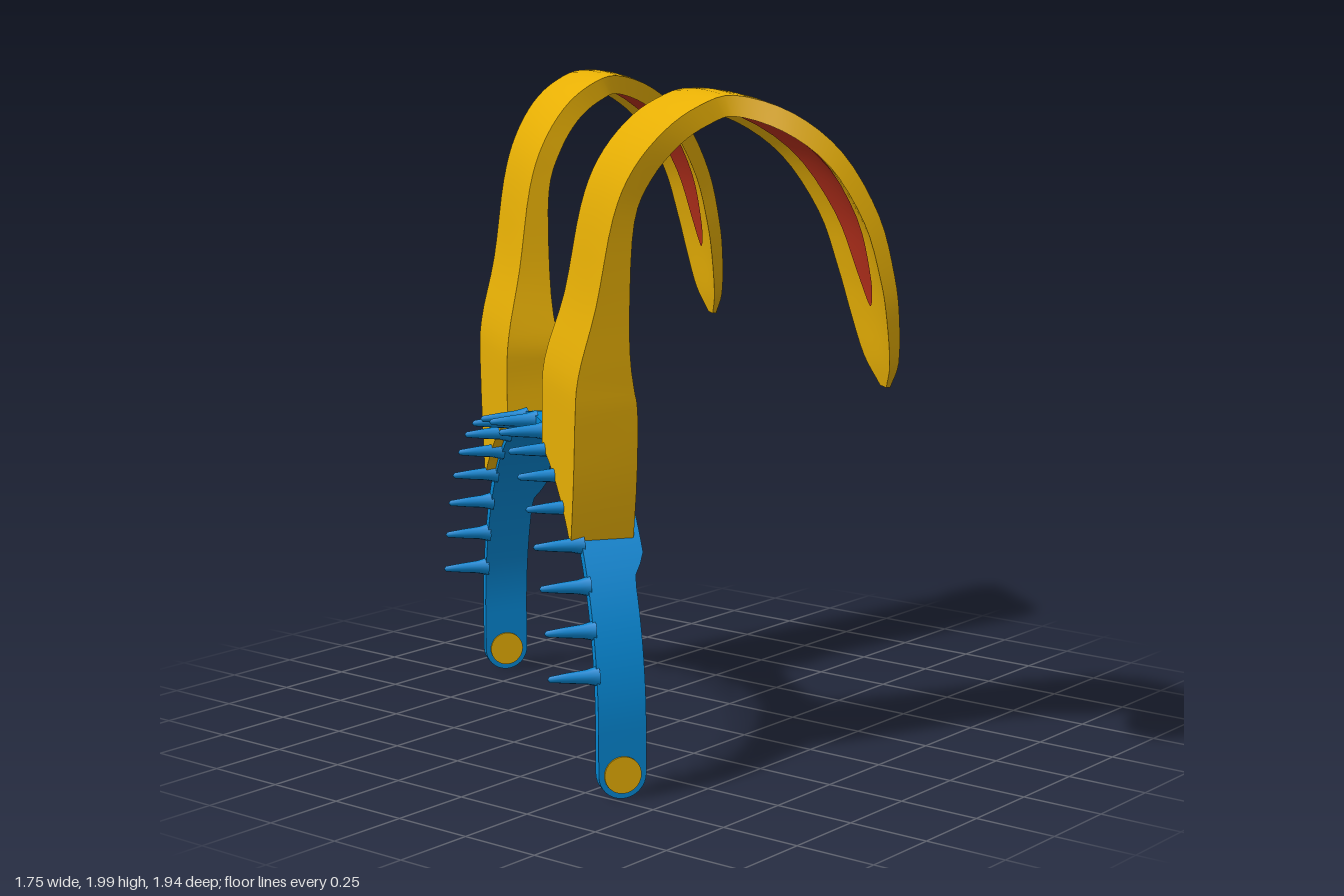
import * as THREE from 'three';
import { toCreasedNormals } from 'three/addons/utils/BufferGeometryUtils.js';

const gold = new THREE.MeshStandardMaterial({ color: 0xe8b004 });
const blue = new THREE.MeshStandardMaterial({ color: 0x0487d3 });
const red = new THREE.MeshStandardMaterial({ color: 0xb7301c });
gold.name = 'gold';
blue.name = 'blue';
red.name = 'red';

// half-ellipse arch of the headband
const A = 0.743, B = 0.775, Y0 = 0.2;
const archY = (x) => Y0 + B * Math.sqrt(Math.max(0, 1 - (x / A) ** 2));

function mesh(name, geometry, material) {
  const m = new THREE.Mesh(geometry, material);
  m.name = name;
  return m;
}

function build(points, index, crease) {
  const g = new THREE.BufferGeometry();
  g.setAttribute('position', new THREE.Float32BufferAttribute(points.flat(), 3));
  g.setIndex(index);
  return toCreasedNormals(g, crease);
}

// closed rings of n points, running clockwise about the sweep direction, capped at both ends
function loft(rings, crease) {
  const n = rings[0].length, h = n / 2, index = [];
  for (let i = 0; i < rings.length - 1; i++) {
    for (let j = 0; j < n; j++) {
      const a = i * n + j, b = i * n + (j + 1) % n;
      index.push(a, a + n, b, b, a + n, b + n);
    }
  }
  const end = (rings.length - 1) * n;
  for (let j = 0; j < h - 1; j++) {
    const p = j, q = j + 1, r = n - 2 - j, s = n - 1 - j;
    index.push(p, q, r, p, r, s);
    index.push(end + p, end + r, end + q, end + p, end + s, end + r);
  }
  return build(rings.flat(), index, crease);
}

// headband: flat strip, wider at the front under the ears, with round ends
function bandGeometry() {
  const R = 0.07, T = 0.0175, st = [];
  const tail = [];
  for (let k = 0; k <= 8; k++) {
    const a = (k / 8) * Math.PI * 0.495;
    tail.push([A, 0.076 - R * Math.sin(a), 1, 0, R * Math.cos(a)]);
  }
  tail.reverse().forEach((p) => st.push(p));
  for (let k = 0; k <= 72; k++) {
    const f = (k / 72) * Math.PI, c = Math.cos(f), s = Math.sin(f);
    const l = Math.hypot(c / A, s / B);
    st.push([A * c, Y0 + B * s, c / A / l, s / B / l, R]);
  }
  tail.reverse().forEach(([x, y, nx, ny, w]) => st.push([-x, y, -nx, ny, w]));
  const step = THREE.MathUtils.smoothstep;
  const rings = st.map(([x, y, nx, ny, w]) => {
    const d = Math.abs(x);
    const front = w + 0.035 * step(d, 0.1, 0.17) * (1 - step(d, 0.59, 0.635));
    const P = (o, z) => [x + nx * o, y + ny * o, z];
    return [P(-T, -w), P(T, -w), P(T, front), P(-T, front)];
  });
  return loft(rings, 0.6);
}

// ear stations: centre x, y, z of the back surface, then half width, thickness, hollow
const EAR = [
  [0.4, 0.72, -0.1, 0.17, 0.185, 0], [0.43, 1.05, -0.1, 0.195, 0.185, 0],
  [0.437, 1.2, -0.092, 0.2, 0.163, 0.01], [0.472, 1.4, -0.045, 0.183, 0.1, 0.025],
  [0.502, 1.65, -0.006, 0.183, 0.067, 0.03], [0.529, 1.79, 0.04, 0.193, 0.067, 0.03],
  [0.568, 1.9, 0.115, 0.205, 0.067, 0.03], [0.597, 1.97, 0.205, 0.21, 0.067, 0.03],
  [0.625, 2.0, 0.305, 0.21, 0.065, 0.03], [0.698, 1.953, 0.45, 0.21, 0.065, 0.03],
  [0.755, 1.842, 0.58, 0.205, 0.06, 0.03], [0.797, 1.67, 0.677, 0.19, 0.055, 0.025],
  [0.815, 1.5, 0.724, 0.175, 0.05, 0.02], [0.823, 1.38, 0.745, 0.152, 0.045, 0.015],
  [0.83, 1.25, 0.76, 0.105, 0.035, 0.005], [0.833, 1.17, 0.765, 0.025, 0.02, 0],
];
const curve = (i) => new THREE.CatmullRomCurve3(
  EAR.map((e) => new THREE.Vector3(e[i], e[i + 1], e[i + 2])), false, 'catmullrom', 0.5);
const backLine = curve(0), sizes = curve(3);

// point on the ear: k = station, t = -1..1 across, depth 0 = back, 1 = hollow front
function earPoint(side, k, t, depth, lift = 0) {
  const u = k / (EAR.length - 1);
  const p = backLine.getPoint(u), d = backLine.getTangent(u), s = sizes.getPoint(u);
  const x = side * p.x + t * s.x;
  // the back is slightly crowned above the foot
  const crown = 0.008 * THREE.MathUtils.smoothstep(k, 2, 6) * t * t;
  const o = depth * (s.y - s.z * (1 - t * t)) + (1 - depth) * crown + lift;
  if (k <= 1) return [x, 1.05 + (archY(x) - 1.05) * (1 - k), -0.1 + o];
  const l = Math.hypot(d.y, d.z);
  return [x, p.y - (d.z / l) * o, p.z + (d.y / l) * o];
}

function earGeometry(side) {
  const rings = [], N = 8, last = (EAR.length - 1) * 4;
  for (let i = 0; i <= last; i++) {
    const ring = [];
    for (let j = 0; j <= N; j++) ring.push(earPoint(side, i / 4, (2 * j) / N - 1, 0));
    for (let j = N; j >= 0; j--) ring.push(earPoint(side, i / 4, (2 * j) / N - 1, 1));
    rings.push(ring);
  }
  return loft(rings, 0.65);
}

// leaf-shaped lining of the ear with blunt ends
function liningGeometry(side) {
  const pts = [], index = [], M = 48, N = 8;
  for (let i = 0; i <= M; i++) {
    const v = (1 - Math.cos((Math.PI * i) / M)) / 2;
    const f = 0.7 * Math.pow(Math.max(0.00001, Math.sin(Math.PI * v)), 0.55);
    for (let j = 0; j <= N; j++) {
      pts.push(earPoint(side, 2.22 + v * 10.6, f * ((2 * j) / N - 1), 1, 0.004));
      if (i < M && j < N) {
        const a = i * (N + 1) + j, c = a + N + 1;
        index.push(a, a + 1, c, a + 1, c + 1, c);
      }
    }
  }
  return build(pts, index, 1);
}

export function createModel() {
  const model = new THREE.Group();
  model.name = 'earHeadband';
  const body = new THREE.Group();
  body.name = 'headbandAssembly';
  body.position.set(-0.288, 0, -0.255);
  body.rotation.y = 0.96;
  model.add(body);

  body.add(mesh('headband', bandGeometry(), blue));

  // comb teeth at even distances along the back edge
  const tooth = new THREE.LatheGeometry(
    [[0.03, 0], [0.021, 0.035], [0.016, 0.085], [0.009, 0.14], [0, 0.147]]
      .map(([r, y]) => new THREE.Vector2(r, y)), 10);
  const addTooth = (x, y) => {
    const m = mesh('combTooth', tooth, blue);
    m.position.set(x, y, -0.062);
    m.rotation.x = -Math.PI / 2;
    body.add(m);
  };
  addTooth(0, archY(0));
  let arc = 0, count = 1;
  for (let f = 0; f < Math.PI / 2 && count <= 8; f += 0.002) {
    arc += 0.002 * Math.hypot(A * Math.cos(f), B * Math.sin(f));
    if (arc >= count * 0.129) {
      for (const s of [-1, 1]) addTooth(s * A * Math.sin(f), Y0 + B * Math.cos(f));
      count++;
    }
  }

  // ears, linings and the round studs at the band ends
  const stud = new THREE.CylinderGeometry(0.054, 0.054, 0.047, 28);
  for (const side of [-1, 1]) {
    const name = side > 0 ? 'left' : 'right';
    body.add(mesh(name + 'Ear', earGeometry(side), gold));
    body.add(mesh(name + 'EarLining', liningGeometry(side), red));
    const m = mesh(name + 'Stud', stud, gold);
    m.position.set(side * A, 0.076, 0);
    m.rotation.z = Math.PI / 2;
    body.add(m);
  }
  return model;
}
